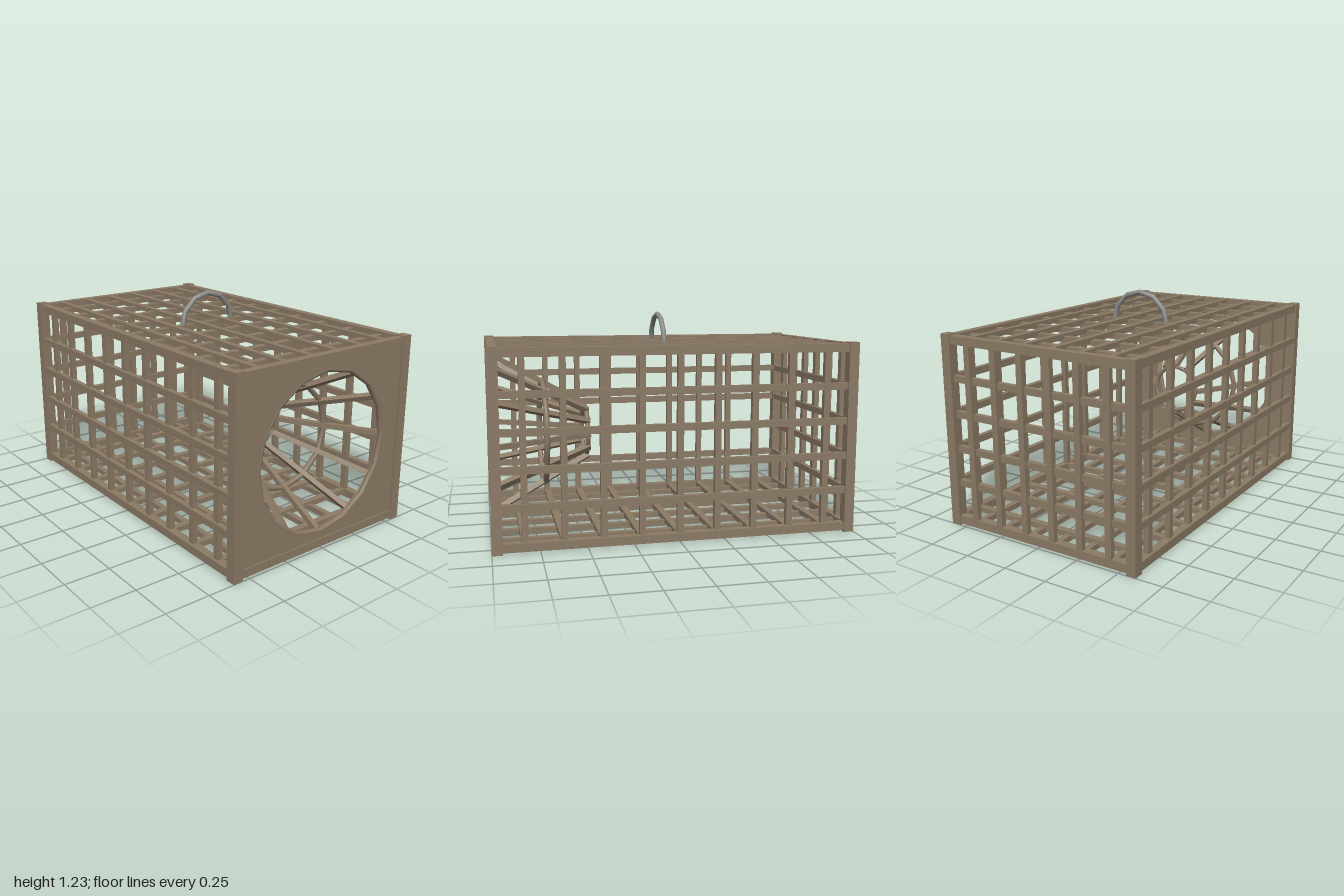
import * as THREE from 'three';

const wood = new THREE.MeshStandardMaterial({ color: 0x8c7b66 });
wood.name = 'weathered wood';
const metal = new THREE.MeshStandardMaterial({ color: 0x8c8f8b });
metal.name = 'grey metal';

export function createModel() {
  const model = new THREE.Group();
  model.name = 'cageTrap';

  const add = (parent, name, geometry, material, x = 0, y = 0, z = 0) => {
    const mesh = new THREE.Mesh(geometry, material);
    mesh.name = name;
    mesh.position.set(x, y, z);
    parent.add(mesh);
    return mesh;
  };
  const box = (parent, name, w, h, d, x, y, z) =>
    add(parent, name, new THREE.BoxGeometry(w, h, d), wood, x, y, z);
  const group = (name) => {
    const g = new THREE.Group();
    g.name = name;
    model.add(g);
    return g;
  };

  const midY = 0.535;      // centre height of the cage
  const railY = 0.503;     // rail distance from the centre height
  const railX = 0.57, railZ = 0.97;
  const mirror = [-1, 1];

  // Outer frame: four posts and twelve rails
  const frame = group('frame');
  for (const sx of mirror) {
    for (const sz of mirror) box(frame, 'cornerPost', 0.056, 1.068, 0.056, sx * 0.572, 0.534, sz * 0.972);
    for (const sy of mirror) box(frame, 'sideRail', 0.046, 0.046, 1.9, sx * railX, midY + sy * railY, 0);
  }
  for (const sz of mirror)
    for (const sy of mirror) box(frame, 'endRail', 1.1, 0.046, 0.046, 0, midY + sy * railY, sz * railZ);

  // Lattice positions
  const xs = [-0.435, -0.261, -0.087, 0.087, 0.261, 0.435];
  const ys = [0.242, 0.437, 0.632, 0.827];
  const zs = Array.from({ length: 9 }, (_, i) => (i - 4) * 0.207);
  const t = 0.03, step = 0.007;  // bar depth and layer offset

  // Side lattices: long bars outside, uprights inside
  for (const s of mirror) {
    const side = group(s > 0 ? 'leftLattice' : 'rightLattice');
    for (const y of ys) box(side, 'longBar', t, 0.038, 1.92, s * (railX + step), y, 0);
    for (const z of zs) box(side, 'uprightBar', t, 0.98, 0.034, s * (railX - step), midY, z);
  }

  // Roof and floor lattices
  for (const s of mirror) {
    const deck = group(s > 0 ? 'roofLattice' : 'floorLattice');
    for (const x of xs) box(deck, 'longBar', 0.033, t, 1.92, x, midY + s * (railY + step), 0);
    for (const z of zs) box(deck, 'crossBar', 1.1, t, 0.038, 0, midY + s * (railY - step), z);
  }

  // Back lattice
  const back = group('backLattice');
  for (const x of xs) box(back, 'uprightBar', 0.036, 0.98, t, x, midY, -railZ - step);
  for (const y of ys) box(back, 'crossBar', 1.1, 0.036, t, 0, y, -railZ + step);

  // Front panel with its sixteen-sided opening
  const panel = new THREE.Shape();
  const w = 0.55, h = 0.485;
  panel.moveTo(-w, -h).lineTo(w, -h).lineTo(w, h).lineTo(-w, h).closePath();
  const hole = new THREE.Path();
  for (let i = 0; i < 16; i++) {
    const a = -i * Math.PI / 8;
    hole[i ? 'lineTo' : 'moveTo'](0.438 * Math.cos(a), 0.438 * Math.sin(a));
  }
  hole.closePath();
  panel.holes.push(hole);
  add(model, 'frontPanel', new THREE.ExtrudeGeometry(panel, { depth: 0.036, bevelEnabled: false }),
    wood, 0, midY, 0.95);

  // Entrance funnel: three hoops joined by twelve tapering ribs
  const funnel = group('entranceFunnel');
  funnel.position.y = midY;
  const hoop = (name, r, tube, sides, z) =>
    add(funnel, name, new THREE.TorusGeometry(r, tube, 8, sides), wood, 0, 0, z);
  hoop('entranceRim', 0.443, 0.016, 16, 0.972);
  hoop('middleHoop', 0.302, 0.016, 12, 0.683);
  hoop('innerHoop', 0.146, 0.014, 12, 0.438);

  const outer = [0.445, 0.955], inner = [0.15, 0.43];  // radius, z
  const dr = outer[0] - inner[0], dz = outer[1] - inner[1];
  for (let i = 0; i < 12; i++) {
    const spoke = new THREE.Group();
    spoke.name = 'funnelRib';
    spoke.rotation.z = i * Math.PI / 6;
    const rib = box(spoke, 'rib', 0.028, 0.03, Math.hypot(dr, dz),
      0, (outer[0] + inner[0]) / 2, (outer[1] + inner[1]) / 2);
    rib.rotation.x = -Math.atan2(dr, dz);
    funnel.add(spoke);
  }

  // Carrying handle: a half hoop over the roof
  add(model, 'handle', new THREE.TorusGeometry(0.18, 0.015, 8, 6, Math.PI), metal, 0, 1.032, 0);

  return model;
}
